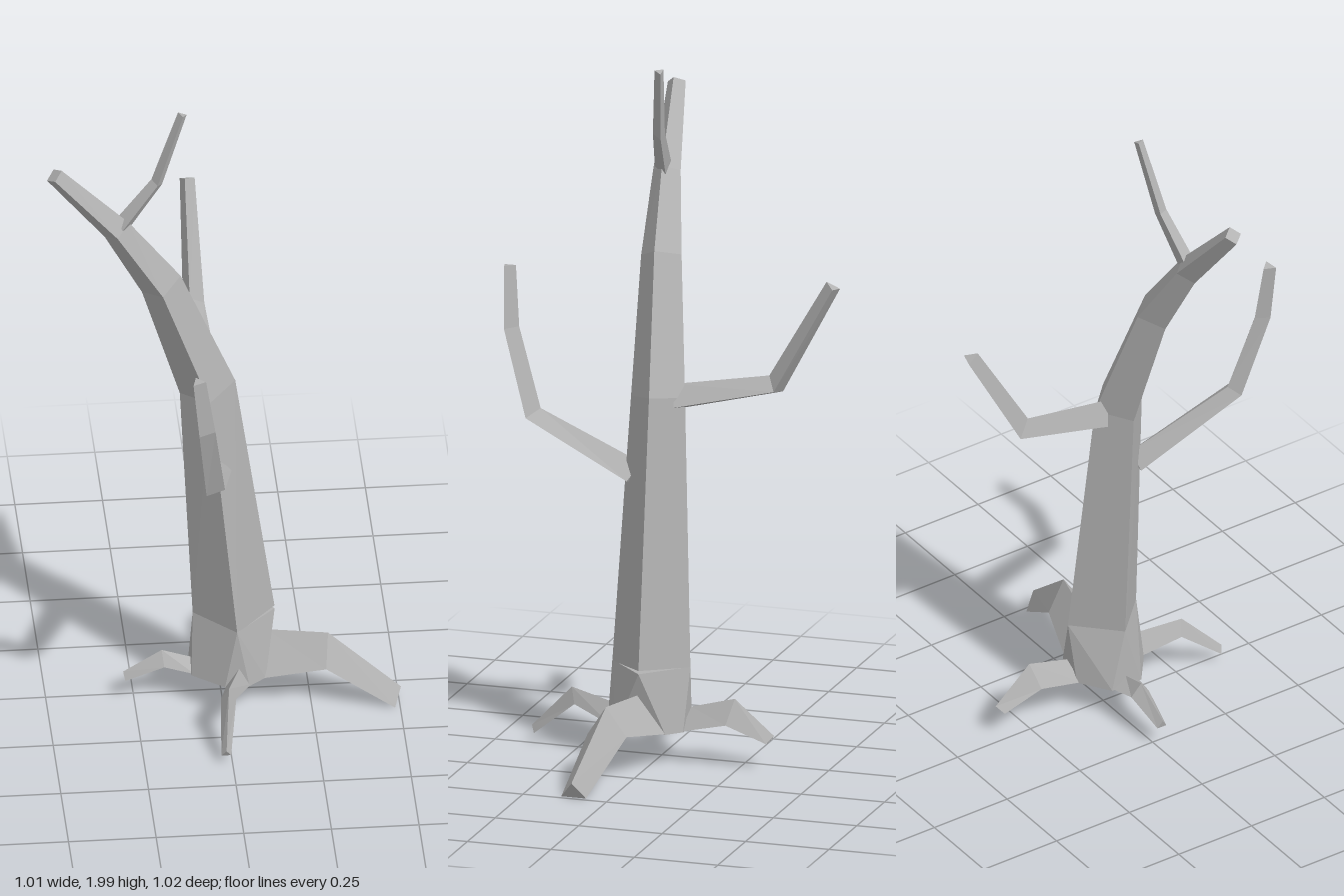
import * as THREE from 'three';
import { ConvexGeometry } from 'three/addons/geometries/ConvexGeometry.js';

const V = (x, y, z) => new THREE.Vector3(x, y, z);

// Flat-faced skin over closed rings of equal length, with both ends capped.
// Rings run counter-clockwise about the direction of travel.
function loft(rings) {
  const pos = [];
  const tri = (...pts) => pts.forEach((p) => pos.push(p.x, p.y, p.z));
  const n = rings[0].length;
  for (let i = 0; i < rings.length - 1; i++) {
    for (let j = 0; j < n; j++) {
      const k = (j + 1) % n;
      const a = rings[i][j], b = rings[i][k], c = rings[i + 1][k], d = rings[i + 1][j];
      tri(a, b, c);
      tri(a, c, d);
    }
  }
  const first = rings[0], last = rings[rings.length - 1];
  for (let j = 1; j < n - 1; j++) {
    tri(first[0], first[j + 1], first[j]);
    tri(last[0], last[j], last[j + 1]);
  }
  const geo = new THREE.BufferGeometry();
  geo.setAttribute('position', new THREE.Float32BufferAttribute(pos, 3));
  geo.computeVertexNormals();
  return geo;
}

// Tapering limb along a path of [x, y, z, radius]
function limb(path, sides, rollDegrees) {
  const pts = path.map(([x, y, z]) => V(x, y, z));
  const rings = pts.map((p, i) => {
    const t = V(0, 0, 0);
    if (i > 0) t.add(p.clone().sub(pts[i - 1]).normalize());
    if (i < pts.length - 1) t.add(pts[i + 1].clone().sub(p).normalize());
    t.normalize();
    const u = V(1, 0, 0).addScaledVector(t, -t.x).normalize();
    const v = t.clone().cross(u);
    return Array.from({ length: sides }, (_, j) => {
      const a = THREE.MathUtils.degToRad(rollDegrees) + (j / sides) * Math.PI * 2;
      const r = path[i][3];
      return p.clone().addScaledVector(u, r * Math.cos(a)).addScaledVector(v, r * Math.sin(a));
    });
  });
  return loft(rings);
}

// Ridged root growing along +x; each section is
// [bottom distance, bottom y, ridge distance, ridge y, sideways centre, half width]
function root(sections) {
  return loft(sections.map(([bx, by, rx, ry, c, w]) => [
    V(rx, ry, c), V(bx, by, c + w), V(bx, by, c - w),
  ]));
}

export function createModel() {
  const model = new THREE.Group();
  model.name = 'bareTree';
  const bark = new THREE.MeshStandardMaterial({ color: 0xb2b2b2 });
  bark.name = 'greyBark';
  bark.flatShading = true;

  const add = (name, geo, turn = 0) => {
    const mesh = new THREE.Mesh(geo, bark);
    mesh.name = name;
    mesh.rotation.y = turn;
    model.add(mesh);
  };

  // Four-sided leaning trunk
  add('trunk', limb([
    [0.035, 0.28, 0.02, 0.117],
    [-0.04, 1.05, 0.025, 0.081],
    [-0.175, 1.43, 0.06, 0.061],
    [-0.305, 1.64, 0.087, 0.042],
    [-0.485, 1.853, 0.117, 0.027],
  ], 4, 0));

  // Foot of the trunk: diamond top easing into an eight-sided bottom
  const top = [[0.152, 0.02], [0.035, 0.137], [-0.082, 0.02], [0.035, -0.097]];
  const bottom = [
    [0.12, -0.05], [0.12, 0.1], [0.07, 0.14], [0, 0.14],
    [-0.09, 0.07], [-0.09, -0.03], [0, -0.09], [0.08, -0.09],
  ];
  add('trunkFoot', new ConvexGeometry([
    ...top.map(([x, z]) => V(x, 0.282, z)),
    ...bottom.map(([x, z]) => V(x, 0.1, z)),
  ]));

  // Roots
  add('leftRoot', root([
    [0.11, 0.1, 0.13, 0.215, 0.025, 0.078],
    [0.29, 0.135, 0.3, 0.222, 0.068, 0.058],
    [0.485, 0.003, 0.505, 0.05, 0.103, 0.037],
  ]));
  add('frontRoot', root([
    [0.13, 0.1, 0.14, 0.16, -0.04, 0.035],
    [0.255, 0.135, 0.27, 0.18, 0, 0.022],
    [0.385, 0.03, 0.395, 0.05, 0.018, 0.014],
  ]), -Math.PI / 2);
  add('backRoot', root([
    [0.08, 0.1, 0.1, 0.165, 0.035, 0.04],
    [0.215, 0.13, 0.23, 0.2, 0.035, 0.04],
    [0.33, 0.08, 0.347, 0.1, 0.033, 0.022],
  ]), Math.PI / 2);
  add('rightRoot', root([
    [0.08, 0.1, 0.085, 0.13, -0.02, 0.045],
    [0.165, 0.115, 0.17, 0.155, -0.015, 0.03],
    [0.275, 0.065, 0.28, 0.088, -0.015, 0.015],
  ]), Math.PI);

  // Three-sided branches
  add('frontBranch', limb([
    [-0.018, 0.818, 0.09, 0.042],
    [-0.055, 0.957, 0.408, 0.032],
    [-0.085, 1.2, 0.485, 0.028],
    [-0.107, 1.378, 0.496, 0.022],
  ], 3, -15));
  add('backBranch', limb([
    [-0.045, 1.045, -0.03, 0.046],
    [-0.053, 1.11, -0.322, 0.036],
    [-0.055, 1.42, -0.494, 0.025],
  ], 3, 15));
  add('topTwig', limb([
    [-0.29, 1.65, 0.09, 0.028],
    [-0.188, 1.78, 0.07, 0.02],
    [-0.113, 1.992, 0.045, 0.015],
  ], 3, -90));

  return model;
}
